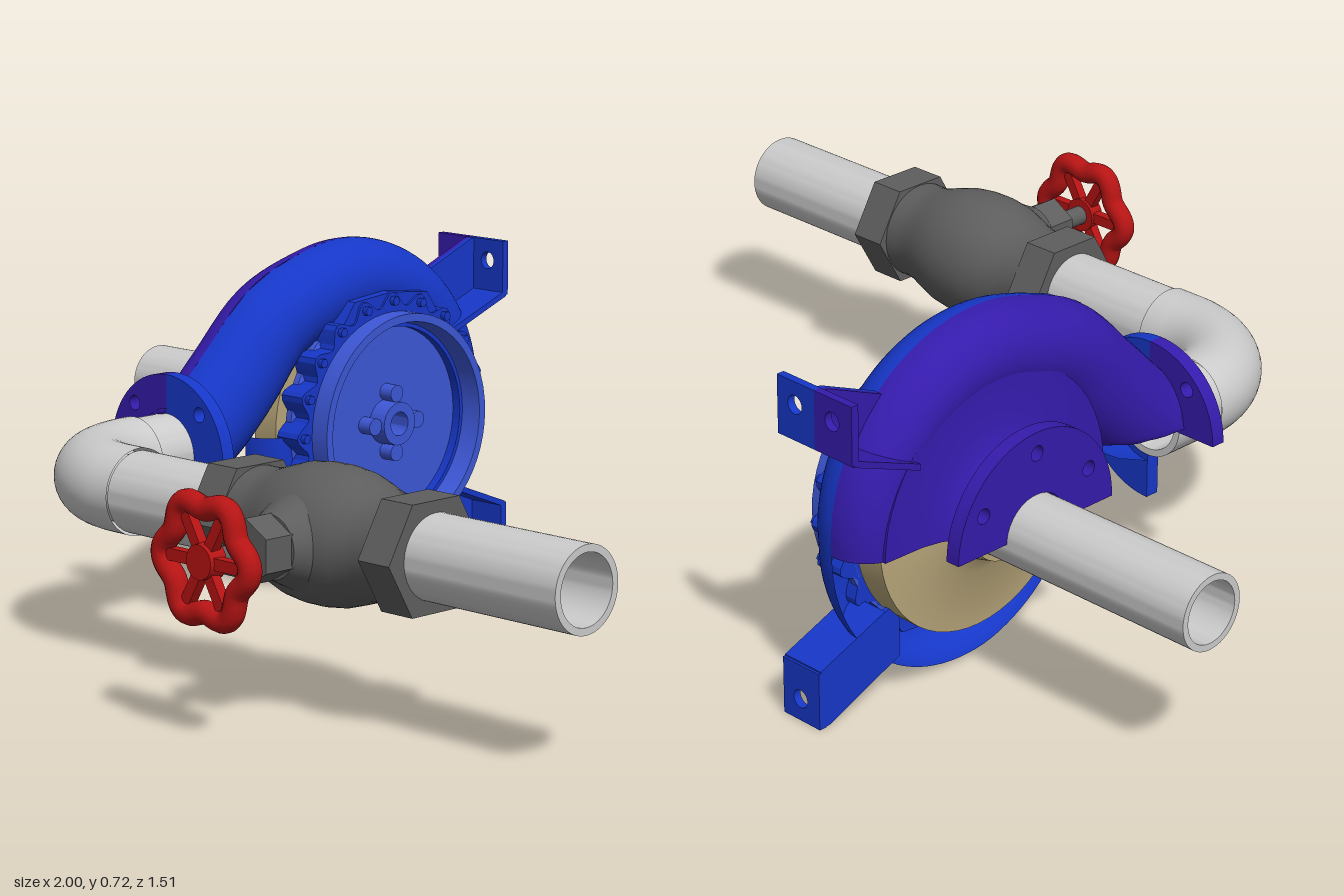
import * as THREE from 'three';
import { toCreasedNormals } from 'three/addons/utils/BufferGeometryUtils.js';

const PI = Math.PI, AX = -0.39, CY = 0.35, CZ = -0.394; // casing split plane and shaft axis
const mat = (color) => new THREE.MeshStandardMaterial({ color, side: THREE.DoubleSide });

export function createModel() {
  const root = new THREE.Group();
  const blue = mat(0x1637c8), purple = mat(0x351bab), light = mat(0x3d57d6), steel = mat(0xcccccc);
  const iron = mat(0x5e5e5e), red = mat(0xb81414), bronze = mat(0xb8a67a);

  const add = (name, geo, m, x = 0, y = 0, z = 0) => {
    const mesh = new THREE.Mesh(geo, m);
    mesh.name = name;
    mesh.position.set(x, y, z);
    root.add(mesh);
    return mesh;
  };
  // Revolve [radius, x] points around the x axis; half keeps the upper part only
  const latheX = (pts, half = false) => toCreasedNormals(
    new THREE.LatheGeometry(pts.map(([r, x]) => new THREE.Vector2(r, x)), half ? 28 : 56,
      half ? PI : 0, half ? PI : 2 * PI).rotateZ(-PI / 2), 0.6);
  const pipeX = (x0, x1, ro, ri) => latheX([[ri, x0], [ro, x0], [ro, x1], [ri, x1], [ri, x0]]);
  const extrude = (shape, depth) => new THREE.ExtrudeGeometry(shape, { depth, bevelEnabled: false, curveSegments: 32 });
  // Extrude a side outline drawn in (-z, y) along x
  const extrudeX = (shape, depth) => extrude(shape, depth).rotateY(PI / 2);
  const poly = (pts) => new THREE.Shape(pts.map(([x, y]) => new THREE.Vector2(x, y)));
  const hole = (s, x, y, r) => s.holes.push(new THREE.Path().absarc(x, y, r, 0, 2 * PI, true));
  // Part of a flange ring, with bolt holes at the given angles
  const sector = (ro, ri, a0, a1, bolts, rb) => {
    const s = new THREE.Shape();
    s.absarc(0, 0, ro, a0, a1, false);
    s.absarc(0, 0, ri, a1, a0, true);
    s.closePath();
    bolts.forEach((a) => hole(s, rb * Math.cos(a), rb * Math.sin(a), 0.015));
    return s;
  };

  // Spiral centre line: (-z, y, tube radius), ending in the outlet throat
  const line = [];
  for (let d = 180; d <= 470; d += 10) {
    const R = d < 360 ? 0.31 + 0.02 * Math.min(1, (d - 180) / 80) : 0.33 + 0.055 * (d - 360) / 110;
    const r = 0.05 + 0.04 * (d - 180) / 290, a = d * PI / 180;
    line.push(new THREE.Vector3(-CZ + (R - r) * Math.cos(a), CY + (R - r) * Math.sin(a), r));
  }
  line.push(new THREE.Vector3(0.156, 0.575, 0.093), new THREE.Vector3(0.05, 0.468, 0.1),
    new THREE.Vector3(-0.03, 0.392, 0.098), new THREE.Vector3(-0.1, 0.34, 0.09));
  const spiral = new THREE.CatmullRomCurve3(line);

  // Half of the spiral shell: side is +1 or -1 in x; cut removes everything below the axis
  function shell(side, u0, cut) {
    const N = 90, M = 16, pos = [], idx = [];
    for (let i = 0; i <= N; i++) {
      const u = u0 + (1 - u0) * i / N, c = spiral.getPoint(u), t = spiral.getTangent(u);
      const l = Math.hypot(t.x, t.y);
      const n = i === N ? [0, 1] : [t.y / l, -t.x / l];
      const sweep = PI * (0.6 + 0.4 * THREE.MathUtils.smoothstep(u, 0.8, 0.95));
      for (let j = 0; j <= M; j++) {
        const a = sweep * j / M, o = c.z * Math.cos(a);
        const y = c.y + n[1] * o;
        pos.push(AX + side * (0.072 + 0.02 * u) * Math.sin(a), cut ? Math.max(CY, y) : y, -(c.x + n[0] * o));
      }
    }
    const low = (k) => cut && pos[3 * k + 1] <= CY + 1e-5;
    for (let i = 0; i < N; i++) for (let j = 0; j < M; j++) {
      const a = i * (M + 1) + j, b = a + M + 1;
      if (low(a) && low(b) && low(a + 1) && low(b + 1)) continue;
      idx.push(a, b, a + 1, b, b + 1, a + 1);
    }
    const g = new THREE.BufferGeometry();
    g.setAttribute('position', new THREE.Float32BufferAttribute(pos, 3));
    g.setIndex(idx);
    g.computeVertexNormals();
    return g;
  }
  add('rearVolute', shell(1, 0, false), blue);
  add('frontVolute', shell(-1, 18 / (line.length - 1), true), purple);

  // Cut-away suction side: flared neck and flange
  add('suctionNeck', latheX([[0.073, -0.545], [0.11, -0.545], [0.114, -0.52], [0.125, -0.502], [0.15, -0.487],
    [0.19, -0.478], [0.28, -0.475], [0.28, -0.46], [0.19, -0.462], [0.13, -0.475], [0.09, -0.5], [0.073, -0.545]], true),
  purple, 0, CY, CZ);
  add('suctionFlange', extrudeX(sector(0.197, 0.073, 0, PI, [PI / 6, PI / 2, 5 * PI / 6], 0.155), 0.03),
    purple, -0.575, CY, CZ);

  // Outlet flange, split like the casing
  add('rearOutletFlange', extrude(sector(0.165, 0.075, -PI / 2, PI / 2, [-PI / 4, PI / 4], 0.135), 0.03),
    blue, AX, 0.337, 0.1);
  add('frontOutletFlange', extrude(sector(0.165, 0.075, PI / 2, PI, [3 * PI / 4], 0.135), 0.03),
    purple, AX, 0.337, 0.1);

  // Impeller with suction eye and bore
  add('impeller', latheX([[0.025, -0.37], [0.025, -0.45], [0.045, -0.44], [0.07, -0.41], [0.08, -0.43], [0.075, -0.5],
    [0.085, -0.5], [0.095, -0.46], [0.13, -0.437], [0.248, -0.428], [0.248, -0.365], [0.025, -0.365]]), bronze, 0, CY, CZ);

  // Scalloped rear ring with bolts and flat pads
  const ring = [];
  for (let i = 0; i < 160; i++) {
    const a = i * PI / 80, r = 0.258 + 0.015 * Math.cos(20 * a);
    ring.push([r * Math.cos(a), r * Math.sin(a)]);
  }
  const ringShape = poly(ring);
  hole(ringShape, 0, 0, 0.2);
  add('rearRing', extrudeX(ringShape, 0.06), blue, -0.335, CY, CZ);
  for (let i = 0; i < 20; i++) {
    const a = i * PI / 10;
    add('coverBolt', new THREE.CylinderGeometry(0.01, 0.01, 0.012, 6).rotateZ(PI / 2), blue,
      -0.27, CY + 0.255 * Math.sin(a), CZ - 0.255 * Math.cos(a));
  }
  for (const s of [1, -1]) {
    add('ringPad', extrudeX(poly([[-0.15, 0.2 * s], [-0.105, 0.262 * s], [0, 0.272 * s], [0.105, 0.262 * s], [0.15, 0.2 * s]]), 0.055),
      blue, -0.335, CY, CZ);
  }

  // Dished rear cover with bored hub
  add('rearCover', latheX([[0.025, -0.37], [0.025, -0.255], [0.045, -0.255], [0.047, -0.295], [0.205, -0.295],
    [0.215, -0.232], [0.232, -0.232], [0.232, -0.3], [0.25, -0.32], [0.25, -0.335], [0.025, -0.335]]), light, 0, CY, CZ);
  for (let i = 0; i < 4; i++) {
    const a = i * PI / 2;
    add('hubBoss', new THREE.CylinderGeometry(0.018, 0.018, 0.035, 16).rotateZ(PI / 2), light,
      -0.28, CY + 0.062 * Math.sin(a), CZ - 0.062 * Math.cos(a));
  }

  // Mounting feet: web, sloping shelf and drilled end plate
  function foot(side, up, m) {
    const fy = (y) => (up ? y : 0.7 - y);
    const outline = (pts) => poly(pts.map(([p, y]) => [p, fy(y)]));
    const x = (w) => (side > 0 ? AX : AX - w);
    add('footWeb', extrudeX(outline([[0.56, 0.497], [0.755, 0.58], [0.755, 0.69], [0.735, 0.688], [0.56, 0.615]]), 0.01), m, x(0.01));
    add('footShelf', extrudeX(outline([[0.595, 0.51], [0.755, 0.572], [0.755, 0.585], [0.595, 0.523]]), 0.095), m, x(0.095));
    const plate = poly([[0, fy(0.575)], [0.095, fy(0.575)], [0.095, fy(0.69)], [0, fy(0.69)]]);
    hole(plate, 0.05, fy(0.645), 0.018);
    add('footPlate', extrude(plate, 0.016), m, x(0.095), 0, -0.76);
  }
  foot(1, true, blue);
  foot(-1, true, purple);
  foot(1, false, blue);

  // Pipework
  const PY = 0.343, PZ = 0.422;
  add('inletPipe', pipeX(-1, -0.5, 0.073, 0.06), steel, 0, CY, -0.397);
  add('outletStub', pipeX(-0.22, -0.1, 0.08, 0.066).rotateY(PI / 2), steel, AX, PY, 0);
  const bend = new THREE.CurvePath();
  const v = (x, z) => new THREE.Vector3(x, PY, z);
  bend.add(new THREE.LineCurve3(v(AX, 0.215), v(AX, 0.222)));
  const k = 0.2 * 0.5523;
  bend.add(new THREE.CubicBezierCurve3(v(AX, 0.222), v(AX, 0.222 + k), v(AX + 0.2 - k, PZ), v(AX + 0.2, PZ)));
  bend.add(new THREE.LineCurve3(v(AX + 0.2, PZ), v(-0.143, PZ)));
  for (const r of [0.085, 0.066]) add('elbow', new THREE.TubeGeometry(bend, 48, r, 40), steel);
  add('outletPipe', pipeX(-0.145, 1, 0.08, 0.066), steel, 0, PY, PZ);

  // Valve body, end nuts and bonnet
  const VX = 0.38;
  const half = [[0.1, 0.19], [0.1, 0.155], [0.104, 0.13], [0.114, 0.1], [0.126, 0.06], [0.131, 0.02]];
  const body = [...half.map(([r, x]) => [r, -x]), ...half.slice().reverse()];
  add('valveBody', latheX(body), iron, VX, PY, PZ);
  const hex = poly([0, 1, 2, 3, 4, 5].map((i) => [0.118 * Math.cos(i * PI / 3), 0.118 * Math.sin(i * PI / 3)]));
  hole(hex, 0, 0, 0.079);
  for (const x of [0.115, 0.565]) add('endNut', extrudeX(hex, 0.077), iron, x, PY, PZ);
  const rodZ = (name, r0, r1, z0, z1, n, m) =>
    add(name, new THREE.CylinderGeometry(r1, r0, z1 - z0, n).rotateX(PI / 2), m, VX, PY, (z0 + z1) / 2);
  rodZ('bonnet', 0.09, 0.06, 0.515, 0.575, 32, iron);
  const nut = rodZ('bonnetNut', 0.062, 0.062, 0.568, 0.637, 6, iron);
  nut.geometry = toCreasedNormals(nut.geometry, 0.5);
  rodZ('stem', 0.02, 0.02, 0.63, 0.74, 20, iron);

  // Lobed handwheel with six spokes
  const rim = [];
  for (let i = 0; i < 48; i++) {
    const a = i * PI / 24, r = 0.103 + 0.01 * Math.cos(6 * a);
    rim.push(new THREE.Vector3(r * Math.cos(a), r * Math.sin(a), 0));
  }
  add('handwheelRim', new THREE.TubeGeometry(new THREE.CatmullRomCurve3(rim, true), 120, 0.022, 14, true), red, VX, PY, 0.732);
  rodZ('handwheelHub', 0.036, 0.032, 0.715, 0.75, 24, red);
  for (let i = 0; i < 6; i++) {
    const a = i * PI / 3;
    const spoke = add('handwheelSpoke', new THREE.BoxGeometry(0.08, 0.022, 0.02), red,
      VX + 0.065 * Math.cos(a), PY + 0.065 * Math.sin(a), 0.732);
    spoke.rotation.z = a;
  }
  return root;
}
